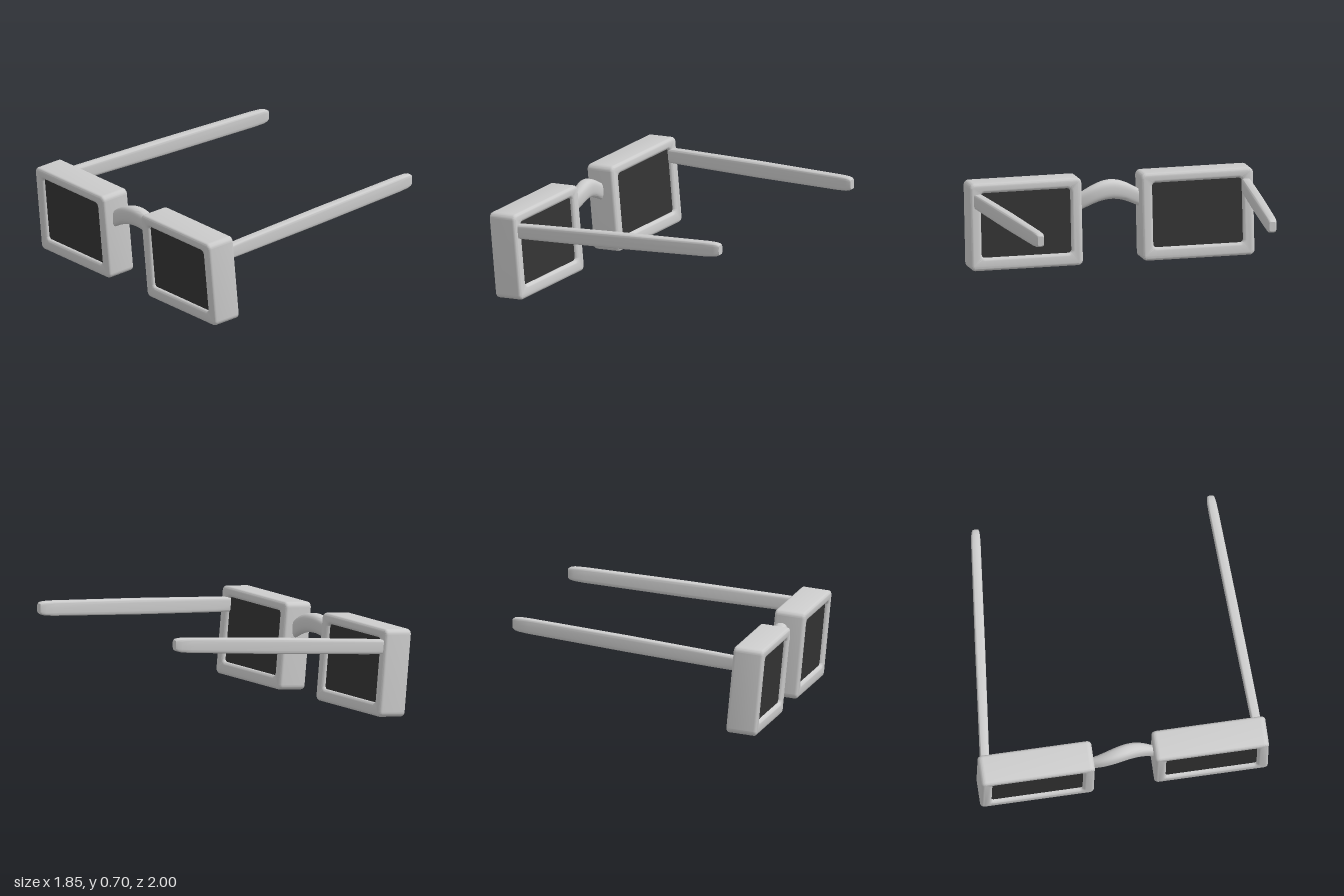
import * as THREE from 'three';
import { toCreasedNormals } from 'three/addons/utils/BufferGeometryUtils.js';

const grey = new THREE.MeshStandardMaterial({ color: 0xcccccc });
const dark = new THREE.MeshStandardMaterial({ color: 0x333333 });

function part(name, geometry, material = grey) {
  const mesh = new THREE.Mesh(geometry, material);
  mesh.name = name;
  return mesh;
}

// Rounded rectangle centred on (cx, cy)
function roundedRect(target, w, h, r, cx = 0, cy = 0) {
  const x = w / 2, y = h / 2;
  target.absarc(cx + x - r, cy + y - r, r, 0, Math.PI / 2);
  target.absarc(cx - x + r, cy + y - r, r, Math.PI / 2, Math.PI);
  target.absarc(cx - x + r, cy - y + r, r, Math.PI, Math.PI * 1.5);
  target.absarc(cx + x - r, cy - y + r, r, Math.PI * 1.5, Math.PI * 2);
  target.closePath();
  return target;
}

// Skin over superellipse sections { c, a, b }: centre and half sizes along u and v (u x v = path direction)
function loft(sections, u, v, power, sides = 32) {
  const pos = [], index = [];
  const soft = (n) => Math.sign(n) * Math.abs(n) ** power;
  sections.forEach(({ c, a, b }, i) => {
    for (let j = 0; j < sides; j++) {
      const t = (j / sides) * Math.PI * 2;
      const p = new THREE.Vector3(...c)
        .addScaledVector(u, a * soft(Math.cos(t)))
        .addScaledVector(v, b * soft(Math.sin(t)));
      pos.push(p.x, p.y, p.z);
      if (i === sections.length - 1) continue;
      const k = i * sides + j, l = i * sides + (j + 1) % sides;
      index.push(k, l, k + sides, l, l + sides, k + sides);
    }
  });
  const g = new THREE.BufferGeometry();
  g.setAttribute('position', new THREE.Float32BufferAttribute(pos, 3));
  g.setIndex(index);
  return toCreasedNormals(g, 0.7);
}

const X = new THREE.Vector3(1, 0, 0);
const Y = new THREE.Vector3(0, 1, 0);
const Z = new THREE.Vector3(0, 0, 1);

// Thick square rim with a lens sitting just inside both faces
function lensFrame(name, x, z, side) {
  const depth = 0.215, bevel = 0.022;
  const shape = roundedRect(new THREE.Shape(), 0.788 - 2 * bevel, 0.61 - 2 * bevel, 0.015);
  shape.holes.push(roundedRect(new THREE.Path(), 0.63 + 2 * bevel, 0.45 + 2 * bevel, 0.045, 0, 0.01));
  const rim = new THREE.ExtrudeGeometry(shape, {
    depth: depth - 2 * bevel, bevelThickness: bevel, bevelSize: bevel, bevelSegments: 4, curveSegments: 6,
  });
  rim.translate(0, 0, bevel - depth / 2);

  const lensShape = roundedRect(new THREE.Shape(), 0.64, 0.46, 0.03, 0, 0.01);
  const lens = new THREE.ExtrudeGeometry(lensShape, { depth: depth - 0.05, bevelEnabled: false, curveSegments: 4 });
  lens.translate(0, 0, 0.025 - depth / 2);

  const group = new THREE.Group();
  group.name = name;
  for (const g of [rim, lens]) g.rotateY(Math.PI / 2);
  group.add(part(side + 'Rim', toCreasedNormals(rim, 0.6)), part(side + 'Lens', lens, dark));
  group.position.set(x, 0.32, z);
  // Lean forward at the top, with a slight turn
  group.rotation.set(0, 0.012, 0.096, 'YZX');
  return group;
}

// Straight temple rising and closing in towards its rounded tip
function temple(name, start, end) {
  const from = new THREE.Vector3(...start), to = new THREE.Vector3(...end);
  const rows = [[0, 0], [0, 0.95], [0.1, 1], [0.5, 1.06], [0.93, 1], [0.975, 0.94], [0.992, 0.82], [1, 0.65], [1, 0]];
  const sections = rows.map(([t, s]) => ({
    c: from.clone().lerp(to, t).toArray(), a: 0.052 * s, b: 0.033 * s,
  }));
  return part(name, loft(sections, Y, Z, 0.4));
}

// Arched bridge, thickest in the middle and swaying from one rim to the other
function bridge() {
  const sections = [];
  for (let i = 0; i <= 16; i++) {
    const t = i / 8 - 1, arch = Math.cos(t * Math.PI / 2);
    sections.push({
      c: [-0.793 + 0.02 * Math.sin(t * 2.4), 0.432 + 0.084 * arch, t * 0.23],
      a: 0.026 + 0.024 * arch,
      b: 0.06 + 0.007 * arch,
    });
  }
  return part('bridge', loft(sections, X, Y, 0.75));
}

export function createModel() {
  const model = new THREE.Group();
  model.name = 'glasses';
  model.add(
    lensFrame('frameNear', -0.773, 0.603, 'near'),
    lensFrame('frameFar', -0.793, -0.603, 'far'),
    temple('templeNear', [-0.74, 0.504, 0.94], [0.922, 0.665, 0.837]),
    temple('templeFar', [-0.76, 0.504, -0.95], [0.892, 0.665, -0.793]),
    bridge(),
  );
  return model;
}
